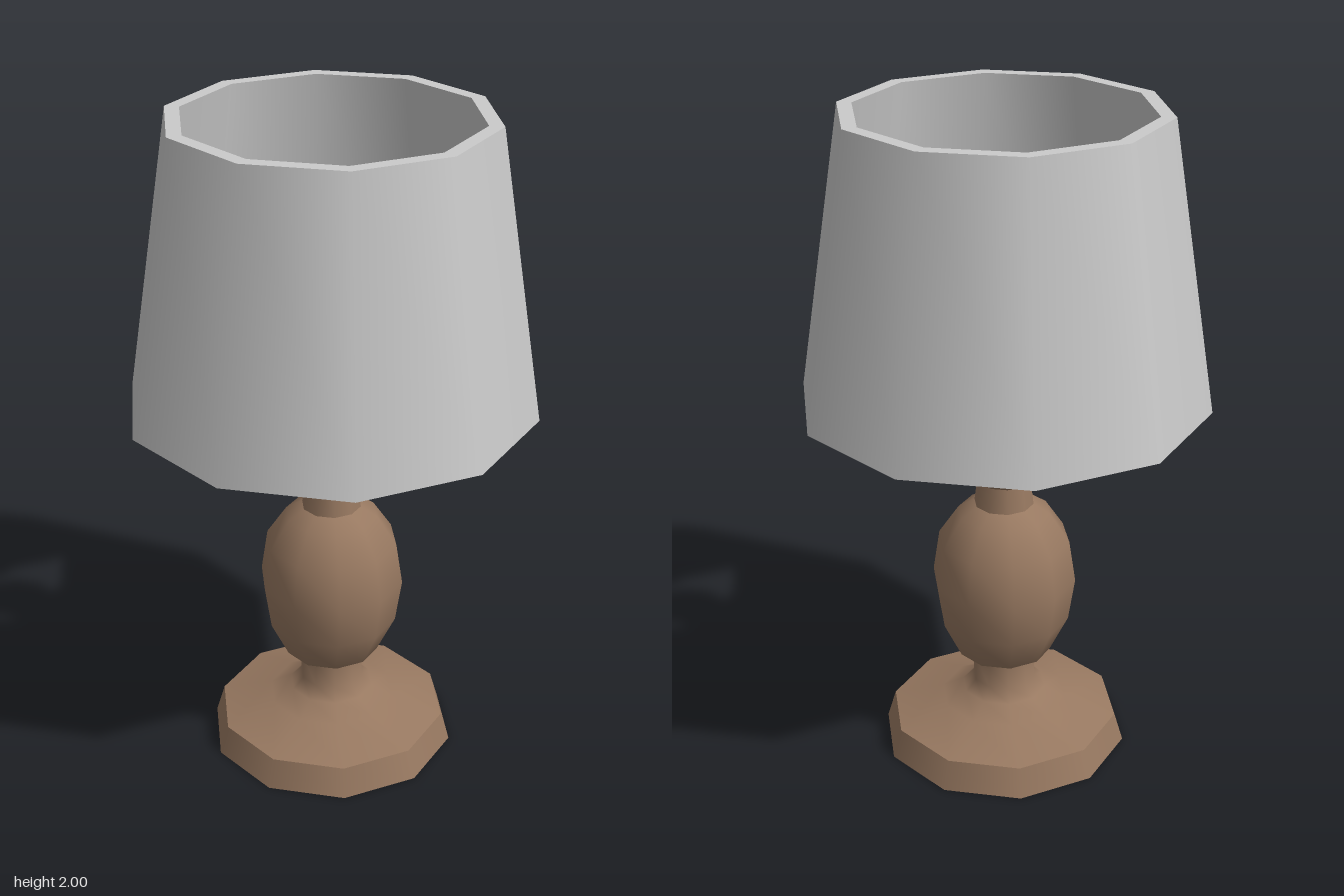
import * as THREE from 'three';
import { mergeGeometries } from 'three/addons/utils/BufferGeometryUtils.js';

const SIDES = 10;

// Turns each smooth profile run separately, so that run boundaries stay sharp.
function turned(name, material, runs) {
  const parts = runs.map((run) =>
    new THREE.LatheGeometry(run.map(([r, y]) => new THREE.Vector2(r, y)), SIDES));
  const mesh = new THREE.Mesh(mergeGeometries(parts), material);
  mesh.name = name;
  return mesh;
}

function flat(name, hex) {
  const m = new THREE.MeshStandardMaterial({ color: hex });
  m.name = name;
  return m;
}

export function createModel() {
  const lamp = new THREE.Group();
  lamp.name = 'tableLamp';
  const wood = flat('brown wood', 0x987961);
  const fabric = flat('grey shade', 0xcacaca);
  const metal = flat('black metal', 0x2b2d2d);
  const glass = flat('white glass', 0xe4e4e4);

  // Wooden foot with a flared top
  lamp.add(turned('base', wood, [
    [[0, 0], [0.38, 0]],
    [[0.38, 0], [0.353, 0.09]],
    [[0.353, 0.09], [0.195, 0.135], [0.13, 0.17], [0.097, 0.205], [0.095, 0.285]],
  ]));

  // Egg-shaped body, neck and ball
  lamp.add(turned('body', wood, [[
    [0.095, 0.28], [0.145, 0.31], [0.2, 0.425], [0.22, 0.56],
    [0.2, 0.69], [0.14, 0.78], [0.09, 0.81],
  ]]));
  lamp.add(turned('neck', wood, [[[0.09, 0.81], [0.08, 0.89]]]));
  lamp.add(turned('ball', wood, [[
    [0.078, 0.885], [0.13, 0.93], [0.16, 1.01], [0.15, 1.09], [0.1, 1.14], [0.036, 1.16],
  ]]));
  lamp.add(turned('stem', wood, [[[0.038, 1.15], [0.038, 1.26]]]));

  // Cross of rods holding the shade
  [['rodAcross', 0.51, 'z'], ['rodFrontBack', 0.54, 'x']].forEach(([name, half, axis]) => {
    const rod = new THREE.Mesh(new THREE.CylinderGeometry(0.034, 0.034, 2 * half, SIDES), metal);
    rod.name = name;
    rod.position.y = 1.28;
    rod.rotation[axis] = Math.PI / 2;
    lamp.add(rod);
  });

  // Hub and bulb socket
  lamp.add(turned('socket', metal, [
    [[0, 1.24], [0.055, 1.24]],
    [[0.055, 1.24], [0.055, 1.39]],
    [[0.055, 1.39], [0.1, 1.39]],
    [[0.1, 1.39], [0.1, 1.47]],
    [[0.1, 1.47], [0, 1.47]],
  ]));

  // Light bulb
  lamp.add(turned('bulb', glass, [[
    [0.065, 1.46], [0.085, 1.51], [0.115, 1.59], [0.105, 1.65], [0.065, 1.7], [0, 1.72],
  ]]));

  // Hollow tapered shade: outside, top rim, inside, bottom rim
  const shade = [[0.605, 1.15], [0.468, 2], [0.425, 2], [0.562, 1.15]];
  lamp.add(turned('shade', fabric, shade.map((p, i) => [p, shade[(i + 1) % 4]])));

  return lamp;
}
